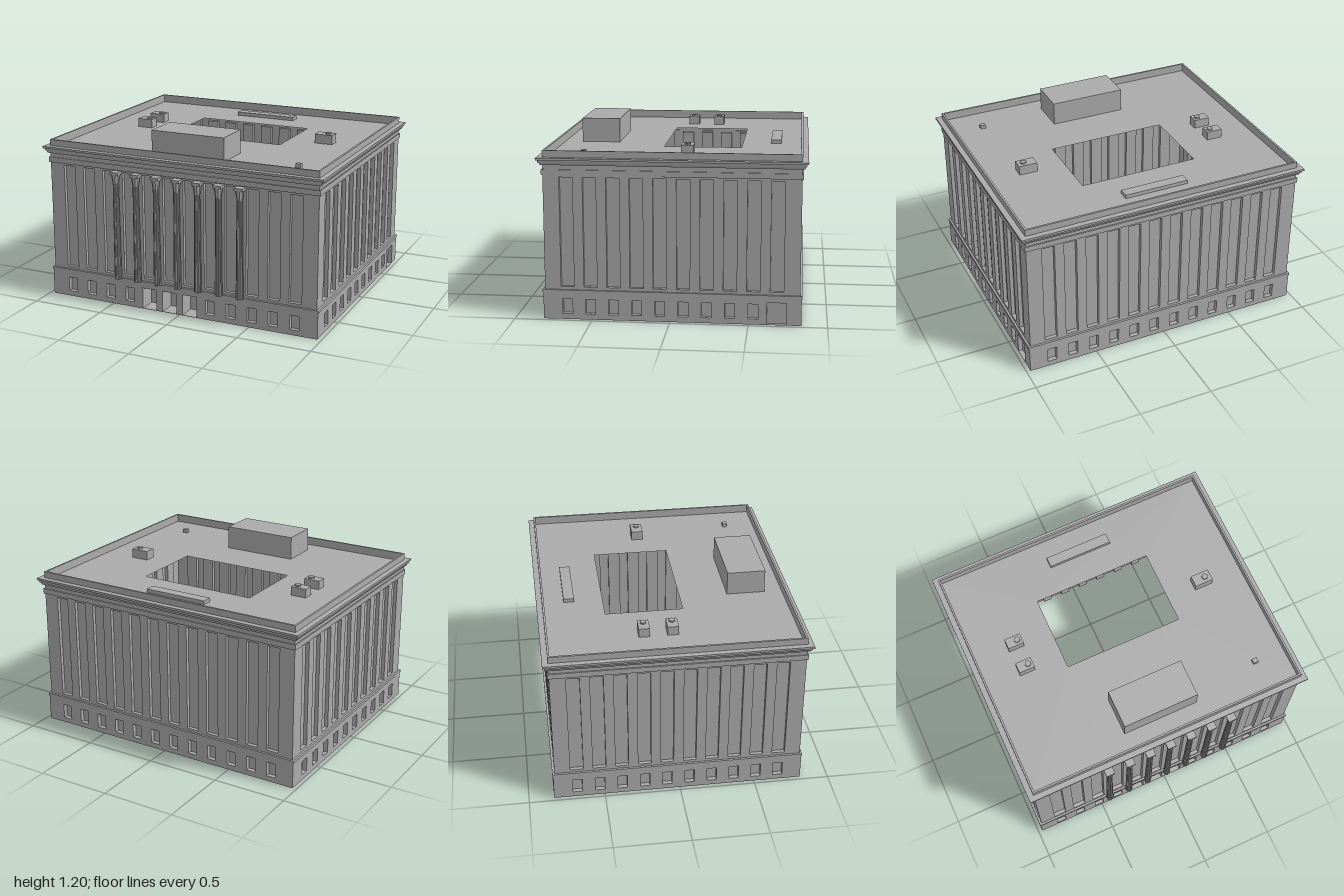
import * as THREE from 'three';
import { mergeGeometries } from 'three/addons/utils/BufferGeometryUtils.js';

const stone = new THREE.MeshStandardMaterial({ color: 0xaaaaaa, side: THREE.DoubleSide });
stone.name = 'greyStone';

const BAY = 0.1485;            // spacing of windows and columns
const CZ = -0.01;              // centre of the building in z
const WALL = [0.963, 0.815];   // half width and half depth of the upper wall

function addMesh(parent, name, geometry, x = 0, y = 0, z = 0) {
  const mesh = new THREE.Mesh(geometry, stone);
  mesh.name = name;
  mesh.position.set(x, y, z);
  parent.add(mesh);
  return mesh;
}

function rectPath(target, x0, y0, x1, y1) {
  target.moveTo(x0, y0);
  target.lineTo(x1, y0);
  target.lineTo(x1, y1);
  target.lineTo(x0, y1);
  target.closePath();
  return target;
}

// Box without its front face, sunk behind an opening
function recess({ x, w, y0, y1, d }) {
  const box = new THREE.BoxGeometry(w, y1 - y0, d);
  const index = Array.from(box.index.array);
  index.splice(24, 6);
  box.setIndex(index);
  return box.translate(x, (y0 + y1) / 2, -d / 2);
}

// Flat wall with recessed openings, facing +z
function wallPanel(half, y0, y1, openings) {
  const shape = rectPath(new THREE.Shape(), -half, y0, half, y1);
  for (const o of openings) {
    shape.holes.push(rectPath(new THREE.Path(), o.x - o.w / 2, o.y0, o.x + o.w / 2, o.y1));
  }
  return mergeGeometries([new THREE.ShapeGeometry(shape), ...openings.map(recess)]);
}

// Moulding: sweep a profile of [outset, y] points round the rectangular plan
function moulding(profile) {
  const pos = [];
  const corners = [[1, 1], [1, -1], [-1, -1], [-1, 1]];
  const point = ([o, y], [sx, sz]) => [sx * (WALL[0] + o), y, sz * (WALL[1] + o)];
  for (let i = 0; i < profile.length - 1; i++) {
    for (let k = 0; k < 4; k++) {
      const c = corners[k], n = corners[(k + 1) % 4];
      const a = point(profile[i], c), b = point(profile[i], n);
      const e = point(profile[i + 1], n), f = point(profile[i + 1], c);
      pos.push(...a, ...b, ...e, ...a, ...e, ...f);
    }
  }
  const g = new THREE.BufferGeometry();
  g.setAttribute('position', new THREE.Float32BufferAttribute(pos, 3));
  g.computeVertexNormals();
  return g;
}

// Fluted shaft: alternate corners pulled inwards
function flutedShaft() {
  const g = new THREE.CylinderGeometry(0.02, 0.025, 0.66, 20, 1);
  const p = g.attributes.position;
  for (let i = 0; i < p.count; i++) {
    const step = Math.round(Math.atan2(p.getX(i), p.getZ(i)) / (Math.PI / 10));
    const s = step % 2 ? 0.8 : 1;
    p.setX(i, p.getX(i) * s);
    p.setZ(i, p.getZ(i) * s);
  }
  const flat = g.toNonIndexed();
  flat.computeVertexNormals();
  return flat;
}

export function createModel() {
  const model = new THREE.Group();
  model.name = 'courtyardBuilding';
  const building = new THREE.Group();
  building.name = 'building';
  building.position.z = CZ;
  model.add(building);

  // Four sides: tall recessed strips above, small windows and doors below
  const sides = [
    { name: 'front', turn: 0, bays: 12, doors: [4, 5, 6], dw: 0.102, dd: 0.12 },
    { name: 'right', turn: 1, bays: 10, doors: [9], dw: 0.125, dd: 0.03 },
    { name: 'back', turn: 2, bays: 12, doors: [] },
    { name: 'left', turn: 3, bays: 10, doors: [] },
  ];
  for (const s of sides) {
    const half = WALL[s.turn % 2], out = WALL[1 - s.turn % 2];
    const strips = [], lower = [];
    for (let i = 0; i < s.bays; i++) {
      const x = (i - (s.bays - 1) / 2) * BAY;
      strips.push({ x, w: 0.085, y0: 0.213, y1: 0.926, d: 0.025 });
      lower.push(s.doors.includes(i)
        ? { x, w: s.dw, y0: 0.002, y1: 0.146, d: s.dd }
        : { x, w: 0.064, y0: 0.036, y1: 0.134, d: 0.03 });
    }
    const side = new THREE.Group();
    side.name = s.name + 'Side';
    side.rotation.y = s.turn * Math.PI / 2;
    building.add(side);
    addMesh(side, 'upperWall', wallPanel(half, 0.194, 0.94, strips), 0, 0, out);
    addMesh(side, 'baseWall', wallPanel(half + 0.01, 0, 0.175, lower), 0, 0, out + 0.01);
  }

  // Ledge over the base, then frieze, stepped cornice and parapet
  addMesh(building, 'baseLedge', moulding([[0.01, 0.175], [0.014, 0.175], [0.014, 0.194], [0, 0.194]]));
  addMesh(building, 'corniceAndParapet', moulding([
    [0, 0.94], [0.008, 0.94], [0.008, 0.975], [0, 0.975], [0, 1.005],
    [0.014, 1.005], [0.018, 1.02], [0.024, 1.02], [0.027, 1.038], [0.037, 1.038],
    [0.037, 1.052], [0, 1.052], [0, 1.095], [-0.013, 1.095], [-0.013, 1.04],
  ]));

  // Roof with courtyard opening
  const roof = rectPath(new THREE.Shape(), -0.95, -0.802, 0.95, 0.802);
  roof.holes.push(rectPath(new THREE.Path(), -0.408, -0.096 + CZ, 0.408, 0.42 + CZ));
  addMesh(building, 'roof', new THREE.ShapeGeometry(roof).rotateX(-Math.PI / 2), 0, 1.04, 0);

  // Rooftop blocks: x0, x1, z0, z1, top
  const blocks = [
    ['penthouse', -0.26, 0.26, 0.417, 0.674, 1.2],
    ['roofVent', -0.224, 0.22, -0.68, -0.61, 1.065],
    ['roofHatch', 0.72, 0.755, 0.565, 0.597, 1.065],
    ['coolingUnit', -0.722, -0.613, -0.235, -0.163, 1.1],
    ['coolingUnit', -0.722, -0.613, -0.05, 0.023, 1.1],
    ['coolingUnit', 0.605, 0.73, -0.128, -0.048, 1.103],
  ];
  for (const [name, x0, x1, z0, z1, top] of blocks) {
    addMesh(model, name, new THREE.BoxGeometry(x1 - x0, top - 1.04, z1 - z0),
      (x0 + x1) / 2, (top + 1.04) / 2, (z0 + z1) / 2);
    if (name === 'coolingUnit') {
      const fan = new THREE.CylinderGeometry(0.022, 0.022, 0.01, 6).rotateY(Math.PI / 6).toNonIndexed();
      fan.computeVertexNormals();
      addMesh(model, 'coolingFan', fan, (x0 + x1) / 2 + 0.021, top + 0.005, (z0 + z1) / 2);
    }
  }

  // Row of columns along the front
  const shaft = flutedShaft();
  const bell = new THREE.CylinderGeometry(0.029, 0.019, 0.07, 8).rotateY(Math.PI / 8).toNonIndexed();
  bell.computeVertexNormals();
  const slab = new THREE.BoxGeometry(0.06, 0.018, 0.054);
  for (let i = -3; i <= 3; i++) {
    const column = new THREE.Group();
    column.name = 'column';
    column.position.set(i * BAY, 0, 0.837);
    addMesh(column, 'shaft', shaft, 0, 0.524, 0);
    addMesh(column, 'capital', bell, 0, 0.885, 0);
    addMesh(column, 'capitalSlab', slab, 0, 0.928, 0);
    model.add(column);
  }
  return model;
}
